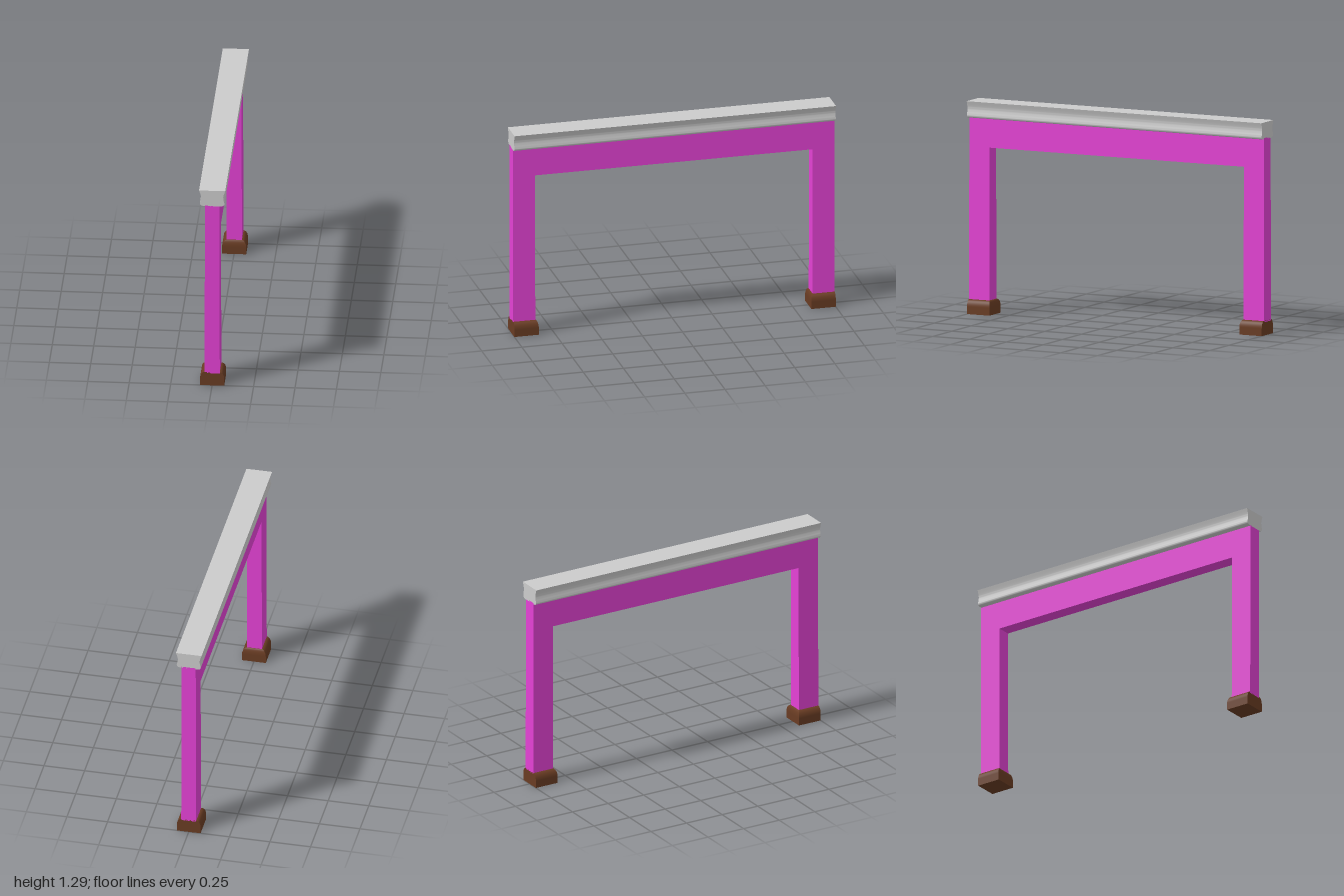
import * as THREE from 'three';
import { toCreasedNormals } from 'three/addons/utils/BufferGeometryUtils.js';

const material = (color) => new THREE.MeshStandardMaterial({ color });

function addMesh(group, name, geometry, mat) {
  const mesh = new THREE.Mesh(geometry, mat);
  mesh.name = name;
  group.add(mesh);
}

// Portal frame: two legs and a crossbeam in one outline, slightly thinner at the top
function frameGeometry() {
  const outer = 1, inner = 0.863, beam = 1.017, top = 1.2, base = 0.08;
  const shape = new THREE.Shape([
    [-outer, base], [-inner, base], [-inner, beam], [inner, beam],
    [inner, base], [outer, base], [outer, top], [-outer, top],
  ].map(([z, y]) => new THREE.Vector2(z, y)));
  const geo = new THREE.ExtrudeGeometry(shape, { depth: 2, bevelEnabled: false });
  geo.translate(0, 0, -1).rotateY(Math.PI / 2);
  const p = geo.attributes.position;
  for (let i = 0; i < p.count; i++) {
    const half = THREE.MathUtils.mapLinear(p.getY(i), 0, 1.2, 0.0465, 0.043);
    p.setX(i, Math.sign(p.getX(i)) * half);
  }
  return toCreasedNormals(geo.toNonIndexed(), 0.5);
}

// Handrail: moulded profile with a waisted side, run along z
function railGeometry() {
  const side = [[0.079, 1.295], [0.07, 1.268], [0.067, 1.25], [0.07, 1.228],
    [0.074, 1.21], [0.068, 1.197], [0.048, 1.192]];
  const curve = new THREE.SplineCurve(side.map(([x, y]) => new THREE.Vector2(x, y)));
  const right = curve.getPoints(24);
  const left = right.map((v) => new THREE.Vector2(-v.x, v.y)).reverse();
  const geo = new THREE.ExtrudeGeometry(new THREE.Shape([...right, ...left]),
    { depth: 2, bevelEnabled: false });
  geo.translate(0, 0, -1);
  return toCreasedNormals(geo, 0.7);
}

// Foot: block with rounded shoulders, flat on its outer (+z) face
function footGeometry() {
  const rows = 12, shoulder = 0.045, height = 0.088;
  const geo = new THREE.BoxGeometry(2, 1, 2, 1, rows, 1);
  const p = geo.attributes.position;
  for (let i = 0; i < p.count; i++) {
    const row = Math.round((p.getY(i) + 0.5) * rows);
    const a = row === 0 ? 0 : ((row - 1) / (rows - 1)) * Math.PI / 2;
    const spread = Math.cos(a);
    const y = row === 0 ? 0 : shoulder + (height - shoulder) * Math.sin(a);
    const x = p.getX(i) * (0.046 + 0.027 * spread);
    const z = p.getZ(i) > 0 ? 1 : 0.863 - 0.015 * spread;
    p.setXYZ(i, x, y, z);
  }
  geo.computeVertexNormals();
  return geo;
}

export function createModel() {
  const group = new THREE.Group();
  group.name = 'railing';
  addMesh(group, 'frame', frameGeometry(), material(0xe542d5));
  addMesh(group, 'handrail', railGeometry(), material(0xcccccc));

  const brown = material(0x693c23);
  addMesh(group, 'frontFoot', footGeometry(), brown);
  addMesh(group, 'backFoot', footGeometry().rotateY(Math.PI), brown);
  return group;
}
